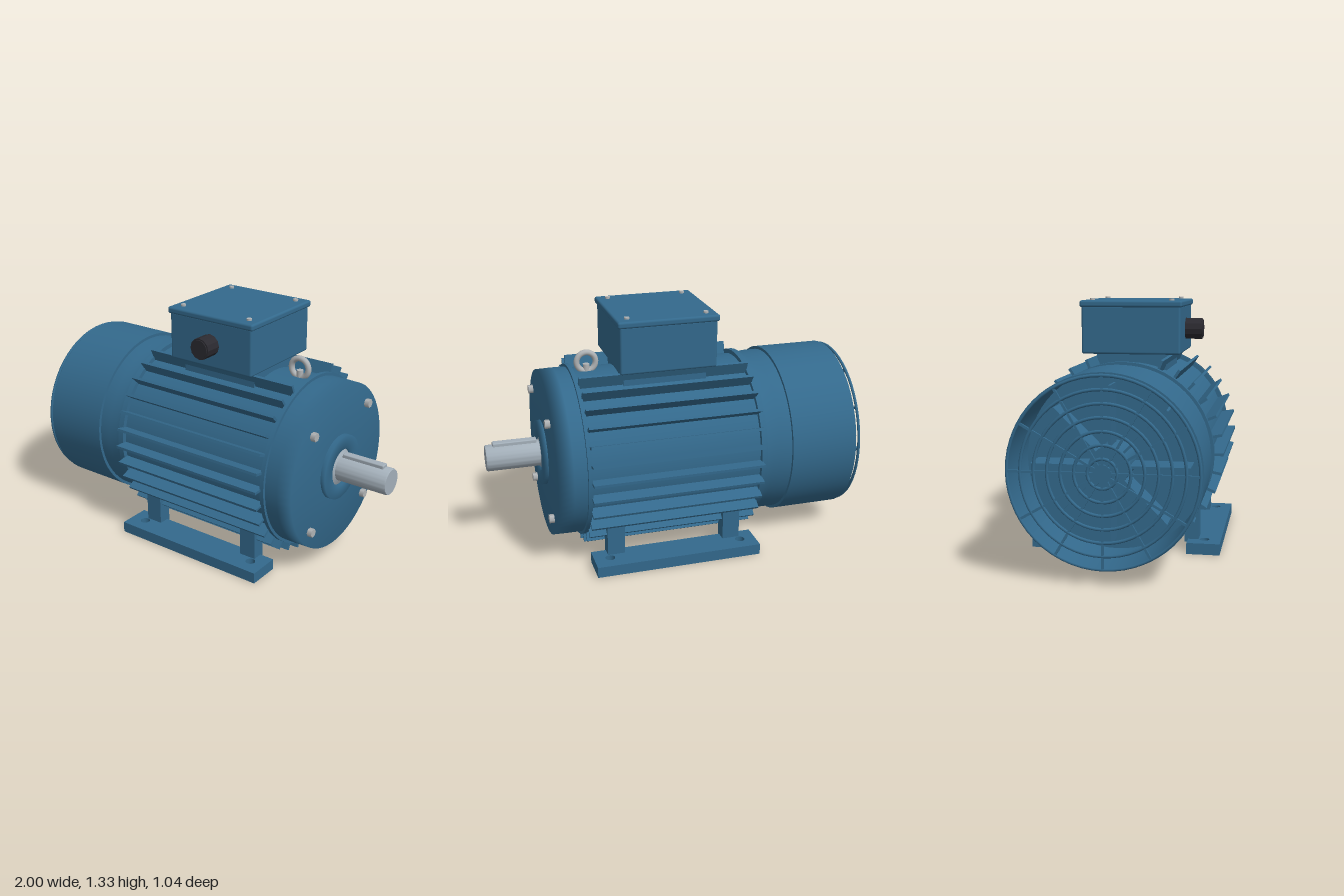
import * as THREE from 'three';
import { toCreasedNormals } from 'three/addons/utils/BufferGeometryUtils.js';
import { RoundedBoxGeometry } from 'three/addons/geometries/RoundedBoxGeometry.js';

const AXIS_Y = 0.538; // height of the shaft axis
const MID_X = 0.045;  // middle of the finned body

export function createModel() {
  const model = new THREE.Group();
  model.name = 'electricMotor';
  const material = (name, color) => {
    const m = new THREE.MeshStandardMaterial({ color });
    m.name = name;
    return m;
  };
  const blue = material('bluePaint', 0x33698c);
  const steel = material('shaftSteel', 0xa3afb9);
  const zinc = material('boltZinc', 0xb0b3b5);
  const black = material('blackPlastic', 0x2b2a30);

  const add = (name, geometry, mat, x = 0, y = 0, z = 0, parent = model) => {
    const mesh = new THREE.Mesh(geometry, mat);
    mesh.name = name;
    mesh.position.set(x, y, z);
    parent.add(mesh);
    return mesh;
  };

  // Everything turned about the shaft axis lives in this group
  const turned = new THREE.Group();
  turned.name = 'turnedParts';
  turned.position.y = AXIS_Y;
  model.add(turned);

  // Lathe about x; points are [x, radius] from the back to the front
  const lathe = (points, smooth = false, segments = 64) => {
    const g = new THREE.LatheGeometry(points.map(([x, r]) => new THREE.Vector2(r, x)), segments);
    g.rotateZ(-Math.PI / 2);
    return smooth ? g : toCreasedNormals(g, 0.6);
  };
  const rod = (r, length, sides = 24) =>
    new THREE.CylinderGeometry(r, r, length, sides).rotateZ(-Math.PI / 2);

  // Finned body
  add('bodyCore', lathe([[-0.43, 0.4], [-0.43, 0.45], [0.52, 0.45], [0.52, 0.4]]), blue, 0, 0, 0, turned);
  const fins = new THREE.Group();
  fins.name = 'coolingFins';
  turned.add(fins);
  const finShape = new THREE.BoxGeometry(0.935, 0.085, 0.014).translate(MID_X, 0.4775, 0);
  for (let i = 0; i < 32; i++) {
    if (i <= 1 || i === 31) continue; // clear strip under the terminal box
    add('coolingFin', finShape, blue, 0, 0, 0, fins).rotation.x = (i / 32) * Math.PI * 2;
  }

  // End shields with their flanges
  add('frontFlange', lathe([[0.508, 0.4], [0.508, 0.474], [0.53, 0.474], [0.53, 0.4]]), blue, 0, 0, 0, turned);
  add('frontShield', lathe([[0.53, 0.458], [0.6, 0.458], [0.685, 0.456], [0.686, 0.1]], true), blue, 0, 0, 0, turned);
  add('bearingHub', lathe([[0.685, 0.178], [0.711, 0.177], [0.711, 0.102], [0.68, 0.102]], true), blue, 0, 0, 0, turned);
  add('rearFlange', lathe([[-0.45, 0.4], [-0.45, 0.474], [-0.418, 0.474], [-0.418, 0.4]]), blue, 0, 0, 0, turned);
  add('rearShield', lathe([[-0.6, 0.458], [-0.53, 0.458], [-0.49, 0.453], [-0.45, 0.458]], true), blue, 0, 0, 0, turned);

  // Shaft with shoulder and key
  add('shaft', lathe([[0.65, 0.102], [0.695, 0.1], [0.709, 0.072], [0.992, 0.072], [1, 0.068], [1, 0]]), steel, 0, 0, 0, turned);
  add('shaftKey', new RoundedBoxGeometry(0.24, 0.04, 0.044, 2, 0.006), steel, 0.84, 0.068, 0, turned);

  // Shield bolts
  for (const y of [-1, 1]) for (const z of [-1, 1]) {
    add('shieldBolt', rod(0.024, 0.03, 6), zinc, 0.697, y * 0.273, z * 0.273, turned);
  }

  // Open-backed fan cowl
  add('fanCowl', lathe([[-0.62, 0], [-0.62, 0.462], [-0.97, 0.462], [-0.97, 0.474],
    [-0.598, 0.474], [-0.598, 0.45]]), blue, 0, 0, 0, turned);

  // Cooling fan inside the cowl
  const fan = new THREE.Group();
  fan.name = 'coolingFan';
  turned.add(fan);
  add('fanHub', rod(0.1, 0.22), blue, -0.73, 0, 0, fan);
  for (let i = 0; i < 8; i++) {
    const blade = new THREE.BoxGeometry(0.16, 0.31, 0.012).translate(-0.74, 0.24, 0);
    add('fanBlade', blade, blue, 0, 0, 0, fan).rotation.x = (i / 8) * Math.PI * 2;
  }

  // Wire guard: concentric rings and radial spokes
  const guard = new THREE.Group();
  guard.name = 'fanGuard';
  guard.position.x = -0.992;
  turned.add(guard);
  for (let i = 1; i <= 7; i++) {
    const ring = new THREE.TorusGeometry(0.065 * i + 0.006, 0.008, 8, 56).rotateY(Math.PI / 2);
    add('guardRing', ring, blue, 0, 0, 0, guard);
  }
  for (let i = 0; i < 12; i++) {
    const spoke = new THREE.BoxGeometry(0.012, 0.44, 0.012).translate(0, 0.24, 0);
    add('guardSpoke', spoke, blue, 0, 0, 0, guard).rotation.x = (i / 12) * Math.PI * 2;
  }
  add('guardHub', rod(0.045, 0.014), blue, 0, 0, 0, guard);

  // Feet: drilled rails on two legs each
  const rail = new THREE.Shape();
  rail.moveTo(-0.457, -0.0875).lineTo(0.457, -0.0875).lineTo(0.457, 0.0875).lineTo(-0.457, 0.0875).closePath();
  for (const s of [-1, 1]) {
    rail.holes.push(new THREE.Path().absarc(s * 0.37, 0, 0.026, 0, Math.PI * 2, true));
  }
  const railShape = new THREE.ExtrudeGeometry(rail, { depth: 0.06, bevelEnabled: false, curveSegments: 20 })
    .rotateX(-Math.PI / 2);
  for (const s of [-1, 1]) {
    add('footRail', railShape, blue, MID_X, 0, s * 0.4175);
    for (const x of [-0.282, 0.372]) {
      add('footLeg', new THREE.BoxGeometry(0.095, 0.275, 0.075), blue, x, 0.1825, s * 0.349);
    }
  }

  // Terminal box with neck, lid and lid screws
  const boxX = 0.041;
  add('terminalNeck', new THREE.BoxGeometry(0.46, 0.12, 0.38), blue, boxX, 0.98, 0);
  add('terminalBox', new RoundedBoxGeometry(0.528, 0.26, 0.536, 2, 0.012), blue, boxX, 1.162, 0);
  add('terminalLid', new RoundedBoxGeometry(0.55, 0.036, 0.554, 3, 0.012), blue, boxX, 1.301, 0);
  for (const x of [-1, 1]) for (const z of [-1, 1]) {
    add('lidScrew', new THREE.CylinderGeometry(0.014, 0.014, 0.016, 16), zinc, boxX + x * 0.214, 1.321, z * 0.215);
  }

  // Cable gland
  const gland = (r, length, sides) => new THREE.CylinderGeometry(r, r, length, sides).rotateX(Math.PI / 2);
  add('cableGland', toCreasedNormals(gland(0.058, 0.094, 12), 0.4), black, 0.043, 1.16, 0.312);
  add('glandCap', gland(0.05, 0.02, 24), black, 0.043, 1.16, 0.355);

  // Lifting eye
  add('liftingEye', new THREE.TorusGeometry(0.052, 0.016, 12, 32), zinc, 0.43, 1.037, 0);
  add('liftingEyeCollar', new THREE.CylinderGeometry(0.018, 0.018, 0.06, 16), zinc, 0.43, 0.995, 0);

  return model;
}
